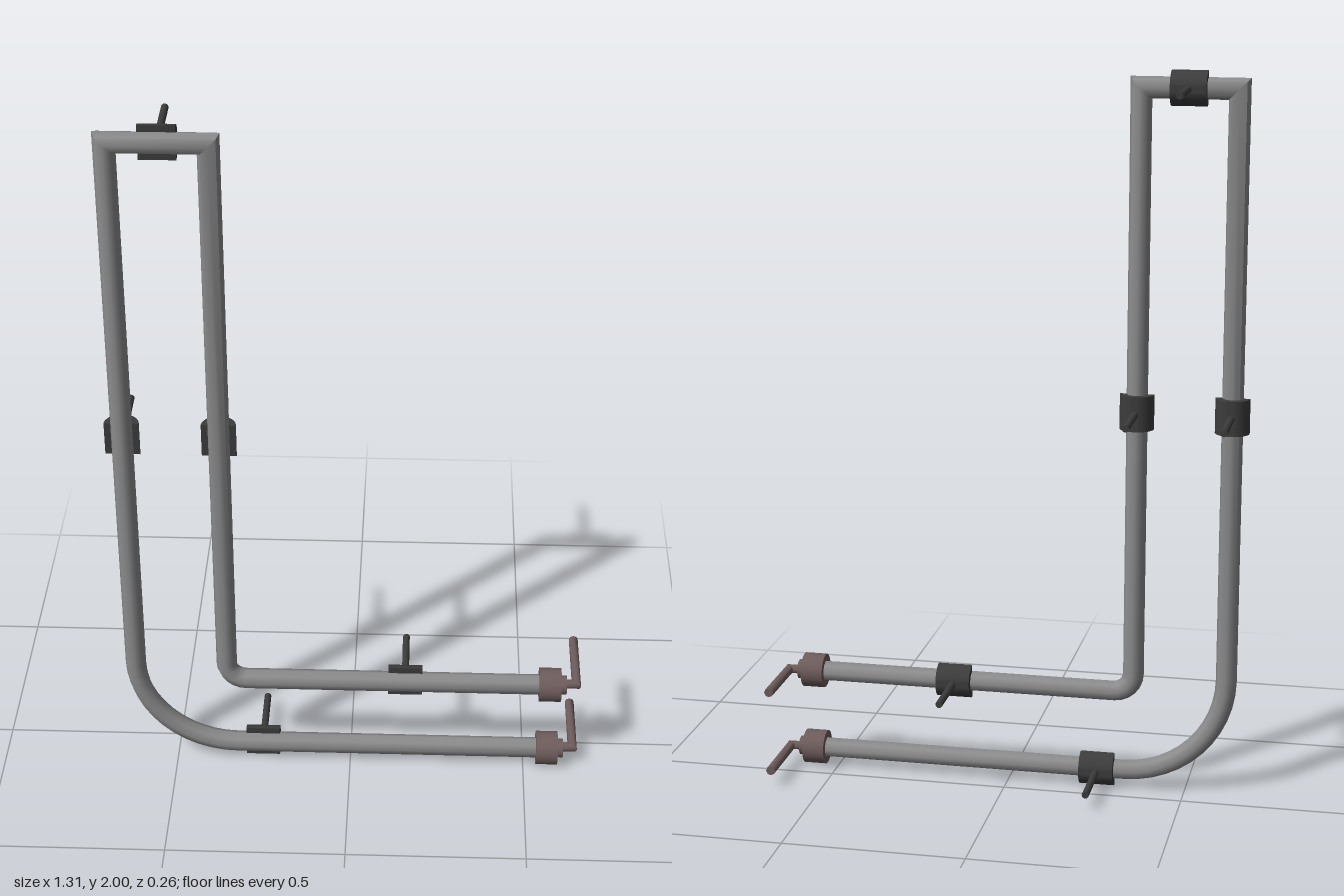
import * as THREE from 'three';
import { toCreasedNormals } from 'three/addons/utils/BufferGeometryUtils.js';

const Z = 0.082; // depth of the tube's centre line
const V = (x, y, z = Z) => new THREE.Vector3(x, y, z);

// Round bar along a flat path, with mitred corners and closed ends.
// `side` is the normal of the plane the path lies in.
function sweep(path, radius, sides, side) {
  const pos = [], index = [], n = path.length;
  path.forEach((p, i) => {
    const into = p.clone().sub(path[Math.max(i - 1, 0)]).normalize();
    const out = path[Math.min(i + 1, n - 1)].clone().sub(p).normalize();
    const tangent = into.clone().add(out).normalize();
    const stretch = 1 / tangent.dot(i < n - 1 ? out : into);
    const across = tangent.clone().cross(side).multiplyScalar(stretch);
    for (let j = 0; j < sides; j++) {
      const a = (j / sides) * Math.PI * 2;
      const v = p.clone()
        .addScaledVector(side, Math.cos(a) * radius)
        .addScaledVector(across, Math.sin(a) * radius);
      pos.push(v.x, v.y, v.z);
    }
  });
  for (let i = 0; i < n - 1; i++) {
    for (let j = 0; j < sides; j++) {
      const a = i * sides + j, b = i * sides + ((j + 1) % sides);
      index.push(a, b, a + sides, b, b + sides, a + sides);
    }
  }
  const last = (n - 1) * sides;
  for (let j = 1; j < sides - 1; j++) {
    index.push(0, j + 1, j, last, last + j, last + j + 1);
  }
  const geo = new THREE.BufferGeometry();
  geo.setAttribute('position', new THREE.Float32BufferAttribute(pos, 3));
  geo.setIndex(index);
  return toCreasedNormals(geo, 0.9);
}

// Quarter bend from a vertical run down into a horizontal run
function bend(cx, cy, r, steps) {
  return Array.from({ length: steps + 1 }, (_, i) => {
    const a = Math.PI + (i / steps) * Math.PI / 2;
    return V(cx + Math.cos(a) * r, cy + Math.sin(a) * r);
  });
}

export function createModel() {
  const model = new THREE.Group();
  model.name = 'bentTube';
  const tubeMat = new THREE.MeshStandardMaterial({ color: 0x8c8c8c });
  const clampMat = new THREE.MeshStandardMaterial({ color: 0x3c3c3c });
  const capMat = new THREE.MeshStandardMaterial({ color: 0x6e5c5c });
  const add = (parent, name, geo, mat) => {
    const mesh = new THREE.Mesh(geo, mat);
    mesh.name = name;
    parent.add(mesh);
  };

  const xOuter = -0.61, xInner = -0.351, yTop = 1.956, yLow = 0.05, yHigh = 0.282;
  const xEnd = 0.56;

  // Main tube: one run up, across the top and down, with two bends
  const path = [
    V(xEnd, yLow),
    ...bend(xOuter + 0.285, yLow + 0.285, 0.285, 12).reverse(),
    V(xOuter, yTop),
    V(xInner, yTop),
    ...bend(xInner + 0.055, yHigh + 0.055, 0.055, 6),
    V(xEnd, yHigh),
  ];
  add(model, 'tube', sweep(path, 0.029, 8, new THREE.Vector3(0, 0, 1)), tubeMat);

  // Half-ring clamp shell, open to the front, extruded along its own z
  const shell = new THREE.Shape();
  shell.absarc(0, 0, 0.047, 0, Math.PI, false);
  shell.absarc(0, 0, 0.028, Math.PI, 0, true);
  const shellGeo = toCreasedNormals(
    new THREE.ExtrudeGeometry(shell, { depth: 0.096, bevelEnabled: false, curveSegments: 10 })
      .translate(0, 0, -0.048), 0.6);
  const rodGeo = new THREE.CylinderGeometry(0.01, 0.01, 0.168, 10).translate(0, 0.125, 0);

  const clamps = [
    [-0.479, yTop, true],
    [xOuter, 1.085, false],
    [xInner, 1.085, false],
    [0.156, yHigh, true],
    [-0.253, yLow, true],
  ];
  for (const [x, y, horizontal] of clamps) {
    const clamp = new THREE.Group();
    clamp.name = 'clamp';
    add(clamp, 'clampShell', shellGeo, clampMat);
    add(clamp, 'clampRod', rodGeo, clampMat);
    clamp.position.set(x, y, Z);
    // Point the rod backwards, then turn the shell along the tube
    clamp.rotation.set(-Math.PI / 2, horizontal ? Math.PI / 2 : 0, 0);
    model.add(clamp);
  }

  // End caps with a collar and a bent terminal pin
  for (const y of [yLow, yHigh]) {
    const end = new THREE.Group();
    end.name = 'endFitting';
    const disc = (name, r, x0, x1) => {
      const geo = new THREE.CylinderGeometry(r, r, x1 - x0, 20);
      geo.rotateZ(-Math.PI / 2).translate((x0 + x1) / 2, y, Z);
      add(end, name, geo, capMat);
    };
    disc('endCap', 0.048, 0.536, 0.598);
    disc('collar', 0.027, 0.598, 0.614);
    const pin = [V(0.605, y, 0.077), V(0.642, y, 0.077), V(0.642, y, -0.13)];
    add(end, 'terminalPin', sweep(pin, 0.013, 8, new THREE.Vector3(0, 1, 0)), capMat);
    model.add(end);
  }

  return model;
}
